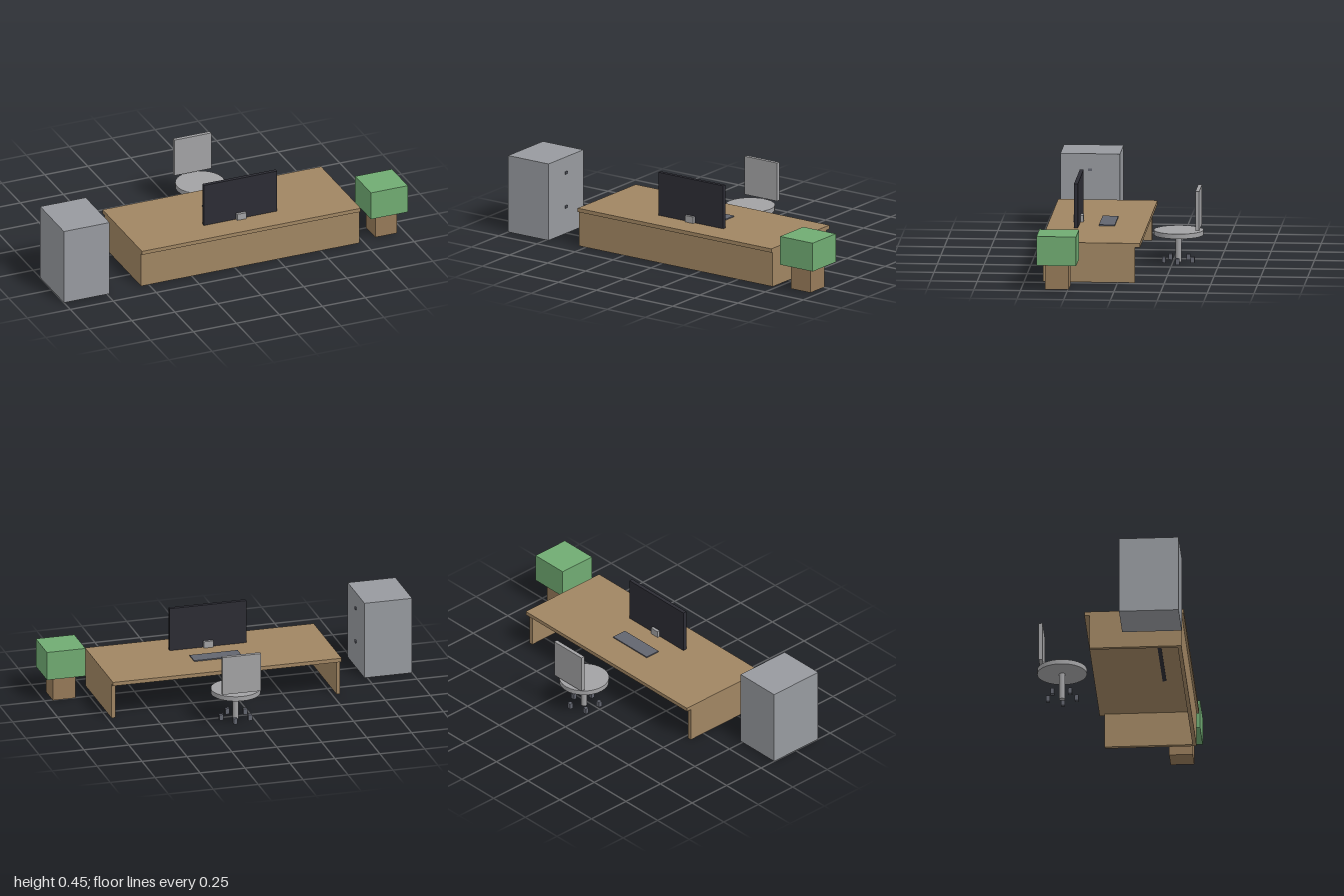
import * as THREE from 'three';

const mat = (color) => new THREE.MeshStandardMaterial({ color });

export function createModel() {
  const root = new THREE.Group();
  const wood = mat(0xa08562);
  const steel = mat(0x979a9f);
  const dark = mat(0x2c2c34);
  const slate = mat(0x62656f);
  const grey = mat(0xa2a2a4);
  const leaf = mat(0x70ab72);
  const clay = mat(0x967a59);

  const group = (name) => {
    const g = new THREE.Group();
    g.name = name;
    root.add(g);
    return g;
  };

  // Box given by its extents along each axis
  const box = (parent, name, material, [x0, x1], [y0, y1], [z0, z1]) => {
    const mesh = new THREE.Mesh(new THREE.BoxGeometry(x1 - x0, y1 - y0, z1 - z0), material);
    mesh.position.set((x0 + x1) / 2, (y0 + y1) / 2, (z0 + z1) / 2);
    mesh.name = name;
    parent.add(mesh);
  };

  // Upright cylinder centred on (x, z)
  const cylinder = (parent, name, material, x, z, r, [y0, y1], sides) => {
    const mesh = new THREE.Mesh(new THREE.CylinderGeometry(r, r, y1 - y0, sides), material);
    mesh.position.set(x, (y0 + y1) / 2, z);
    mesh.name = name;
    parent.add(mesh);
  };

  // Desk: top, front panel and two side panels, open at the back
  const desk = group('desk');
  const [left, right] = [-0.545, 0.727];
  box(desk, 'deskTop', wood, [left, right], [0.193, 0.214], [-0.12, 0.412]);
  box(desk, 'frontPanel', wood, [left, right], [0, 0.193], [0.378, 0.399]);
  for (const x of [left, right - 0.021]) {
    box(desk, 'sidePanel', wood, [x, x + 0.021], [0, 0.193], [-0.092, 0.378]);
  }

  // Monitor sunk slightly through the desk top, with its stand and keyboard
  const computer = group('computer');
  box(computer, 'monitor', dark, [-0.121, 0.305], [0.19, 0.454], [0.244, 0.265]);
  box(computer, 'monitorStand', grey, [0.066, 0.119], [0.2, 0.25], [0.228, 0.281]);
  box(computer, 'keyboard', slate, [-0.041, 0.225], [0.212, 0.22], [0.052, 0.137]);

  // Filing cabinet with two drawer handles on its inner side
  const cabinet = group('cabinet');
  box(cabinet, 'cabinetBody', steel, [-1, -0.735], [0, 0.427], [0.095, 0.414]);
  for (const y of [0.15, 0.34]) {
    box(cabinet, 'drawerHandle', slate, [-0.74, -0.728], [y - 0.007, y + 0.007], [0.244, 0.265]);
  }

  // Potted plant
  const plant = group('plant');
  box(plant, 'pot', clay, [0.829, 0.955], [0, 0.137], [0.245, 0.372]);
  box(plant, 'foliage', leaf, [0.786, 1], [0.137, 0.295], [0.202, 0.414]);

  // Office chair: round seat, post, floating backrest and five feet
  const chair = group('chair');
  const [cx, cz] = [0.092, -0.28];
  cylinder(chair, 'seat', grey, cx, cz, 0.133, [0.148, 0.174], 32);
  cylinder(chair, 'post', grey, cx, cz, 0.016, [0, 0.148], 24);
  box(chair, 'backrest', grey, [cx - 0.107, cx + 0.107], [0.189, 0.402], [-0.398, -0.377]);
  for (let i = 0; i < 5; i++) {
    const a = (i / 5) * Math.PI * 2;
    const x = cx + 0.081 * Math.cos(a);
    const z = cz + 0.081 * Math.sin(a);
    box(chair, 'foot', slate, [x - 0.0105, x + 0.0105], [0, 0.032], [z - 0.0105, z + 0.0105]);
  }

  return root;
}
